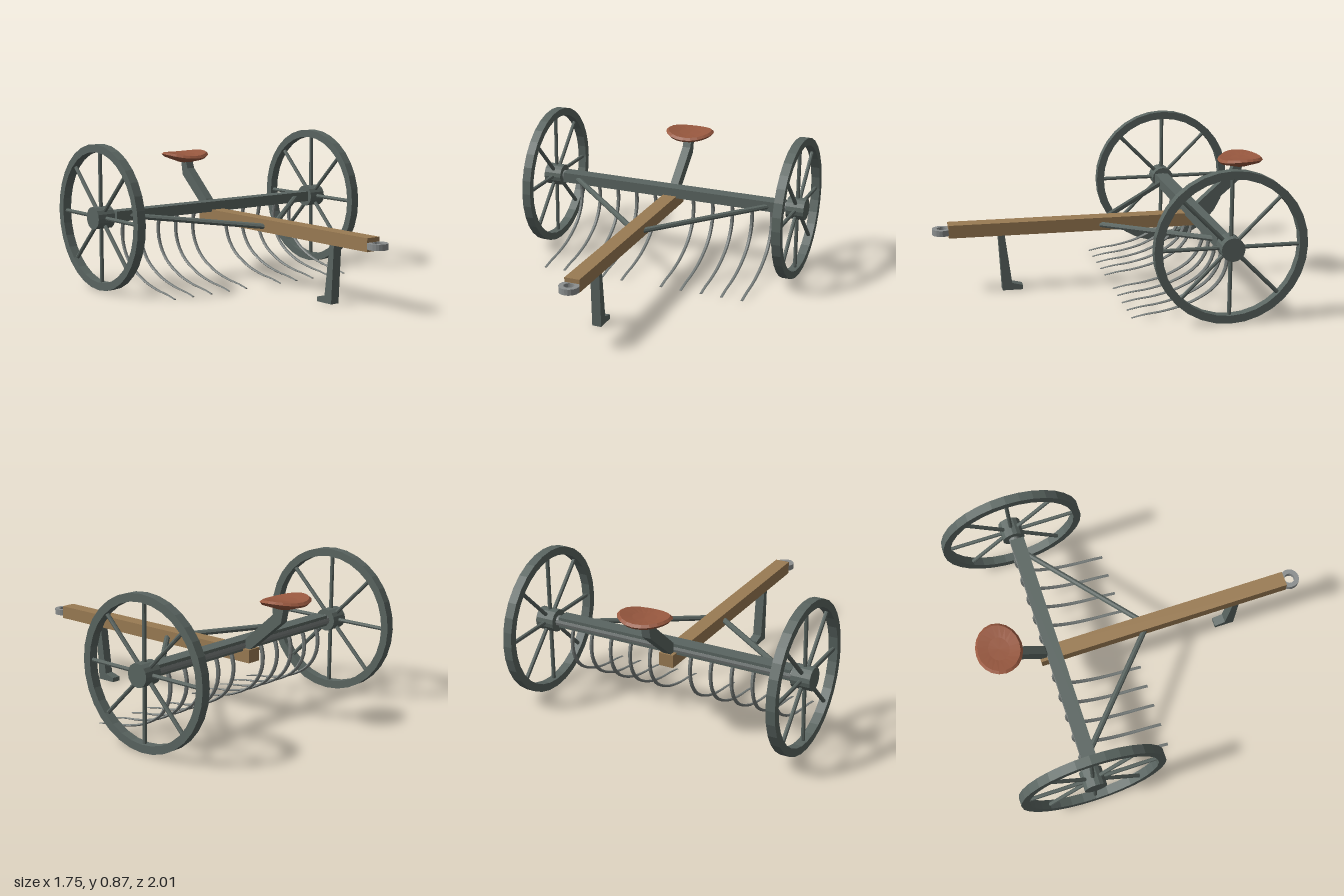
import * as THREE from 'three';

const mat = (color, flatShading = false) => new THREE.MeshStandardMaterial({ color, flatShading });
const iron = mat(0x5a6561);
const ironFlat = mat(0x5a6561, true);
const steel = mat(0x777d7b, true);
const paleSteel = mat(0x8b8f8f);
const wood = mat(0x9a7b53);
const leather = mat(0x98583f, true);

const AXLE_Y = 0.438, AXLE_Z = -0.57;

function add(parent, name, geometry, material, x = 0, y = 0, z = 0) {
  const mesh = new THREE.Mesh(geometry, material);
  mesh.name = name;
  mesh.position.set(x, y, z);
  parent.add(mesh);
  return mesh;
}

// Round bar between two points
function rod(parent, name, a, b, radius, material, sides = 8) {
  const dir = b.clone().sub(a);
  const mesh = add(parent, name, new THREE.CylinderGeometry(radius, radius, dir.length(), sides), material);
  mesh.position.copy(a).add(b).multiplyScalar(0.5);
  mesh.quaternion.setFromUnitVectors(new THREE.Vector3(0, 1, 0), dir.normalize());
  return mesh;
}

// Side outline given as [z, y] points, extruded across x
function sidePlate(points, width) {
  const shape = new THREE.Shape(points.map(([z, y]) => new THREE.Vector2(z, y)));
  return new THREE.ExtrudeGeometry(shape, { depth: width, bevelEnabled: false })
    .translate(0, 0, -width / 2).rotateY(-Math.PI / 2);
}

// Flat ring around z
function ring(outer, inner, depth, curveSegments) {
  const shape = new THREE.Shape().absarc(0, 0, outer, 0, Math.PI * 2, false);
  shape.holes.push(new THREE.Path().absarc(0, 0, inner, 0, Math.PI * 2, true));
  return new THREE.ExtrudeGeometry(shape, { depth, bevelEnabled: false, curveSegments }).translate(0, 0, -depth / 2);
}

function createWheel(side) {
  const wheel = new THREE.Group();
  wheel.name = side > 0 ? 'leftWheel' : 'rightWheel';
  wheel.position.set(side * 0.817, AXLE_Y, AXLE_Z);
  add(wheel, 'rim', ring(0.435, 0.389, 0.054, 16).rotateY(Math.PI / 2), iron);
  add(wheel, 'hub', new THREE.CylinderGeometry(0.067, 0.067, 0.113, 16).rotateZ(Math.PI / 2), ironFlat);
  for (let i = 0; i < 8; i++) {
    const a = i * Math.PI / 4;
    const dir = new THREE.Vector3(0, Math.cos(a), Math.sin(a));
    rod(wheel, 'spoke', dir.clone().multiplyScalar(0.04), dir.clone().multiplyScalar(0.4), 0.012, ironFlat);
  }
  return wheel;
}

// Curved tooth that thins to a flat tip
function tineGeometry() {
  const curve = new THREE.CatmullRomCurve3([
    [0.425, -0.575], [0.36, -0.598], [0.257, -0.59], [0.155, -0.525],
    [0.075, -0.39], [0.034, -0.24], [0.02, -0.13], [0.004, -0.053],
  ].map(([y, z]) => new THREE.Vector3(0, y, z)));
  const steps = 20, sides = 6;
  const positions = [], index = [];
  for (let i = 0; i <= steps; i++) {
    const t = i / steps;
    const p = curve.getPointAt(t), tan = curve.getTangentAt(t);
    const halfWidth = 0.013 - 0.004 * t, halfThick = 0.013 - 0.01 * t;
    for (let j = 0; j < sides; j++) {
      const a = j / sides * Math.PI * 2;
      const n = Math.sin(a) * halfThick;
      positions.push(Math.cos(a) * halfWidth, p.y - tan.z * n, p.z + tan.y * n);
      if (i < steps) {
        const k = i * sides + j, m = i * sides + (j + 1) % sides;
        index.push(k, k + sides, m, m, k + sides, m + sides);
      }
    }
  }
  // End caps
  const last = steps * sides;
  for (let j = 1; j < sides - 1; j++) {
    index.push(0, j, j + 1, last, last + j + 1, last + j);
  }
  const geometry = new THREE.BufferGeometry();
  geometry.setAttribute('position', new THREE.Float32BufferAttribute(positions, 3));
  geometry.setIndex(index);
  geometry.computeVertexNormals();
  return geometry;
}

// Dished oval seat with raised sides
function seatGeometry() {
  const profile = [[0, 0.688], [0.3, 0.692], [0.9, 0.713], [1, 0.727], [0.9, 0.742], [0.45, 0.737], [0, 0.735]];
  const geometry = new THREE.LatheGeometry(profile.map(([r, y]) => new THREE.Vector2(r, y)), 20);
  const pos = geometry.attributes.position;
  for (let i = 0; i < pos.count; i++) {
    const x = pos.getX(i), z = pos.getZ(i);
    pos.setXYZ(i, x * 0.156, pos.getY(i) + 0.02 * x * x - 0.006 * z, z * 0.135);
  }
  geometry.computeVertexNormals();
  return geometry;
}

export function createModel() {
  const model = new THREE.Group();
  model.name = 'hayRake';

  // Wheels, axle and cross beam
  model.add(createWheel(1), createWheel(-1));
  add(model, 'axle', new THREE.CylinderGeometry(0.032, 0.032, 1.6, 12).rotateZ(Math.PI / 2), steel, 0, AXLE_Y, AXLE_Z);
  add(model, 'crossBeam', new THREE.BoxGeometry(1.484, 0.063, 0.085), iron, 0, 0.441, -0.555);

  // Drawbar with hitch ring and stand
  add(model, 'drawbar', new THREE.BoxGeometry(0.09, 0.077, 1.548), wood, 0, 0.383, 0.132);
  add(model, 'hitchRing', ring(0.058, 0.03, 0.035, 10).rotateX(Math.PI / 2), paleSteel, 0, 0.378, 0.942);
  add(model, 'stand', sidePlate([
    [0.615, 0.35], [0.594, 0], [0.473, 0], [0.473, 0.027], [0.537, 0.043], [0.578, 0.35],
  ], 0.056), iron);

  // Diagonal braces
  for (const s of [-1, 1]) {
    rod(model, 'brace', new THREE.Vector3(s * 0.03, 0.377, 0.005), new THREE.Vector3(s * 0.64, 0.438, -0.525), 0.017, ironFlat);
  }

  // Rake teeth, five on each side of the drawbar
  const tine = tineGeometry();
  for (let i = 1; i <= 5; i++) {
    for (const s of [-1, 1]) add(model, 'tine', tine, steel, s * i * 0.13);
  }

  // Seat and its post
  add(model, 'seatPost', sidePlate([
    [-0.56, 0.42], [-0.63, 0.42], [-0.85, 0.61], [-0.868, 0.705],
    [-0.82, 0.715], [-0.797, 0.655], [-0.6, 0.48],
  ], 0.052), iron);
  add(model, 'seat', seatGeometry(), leather, 0, 0, -0.86);

  return model;
}
